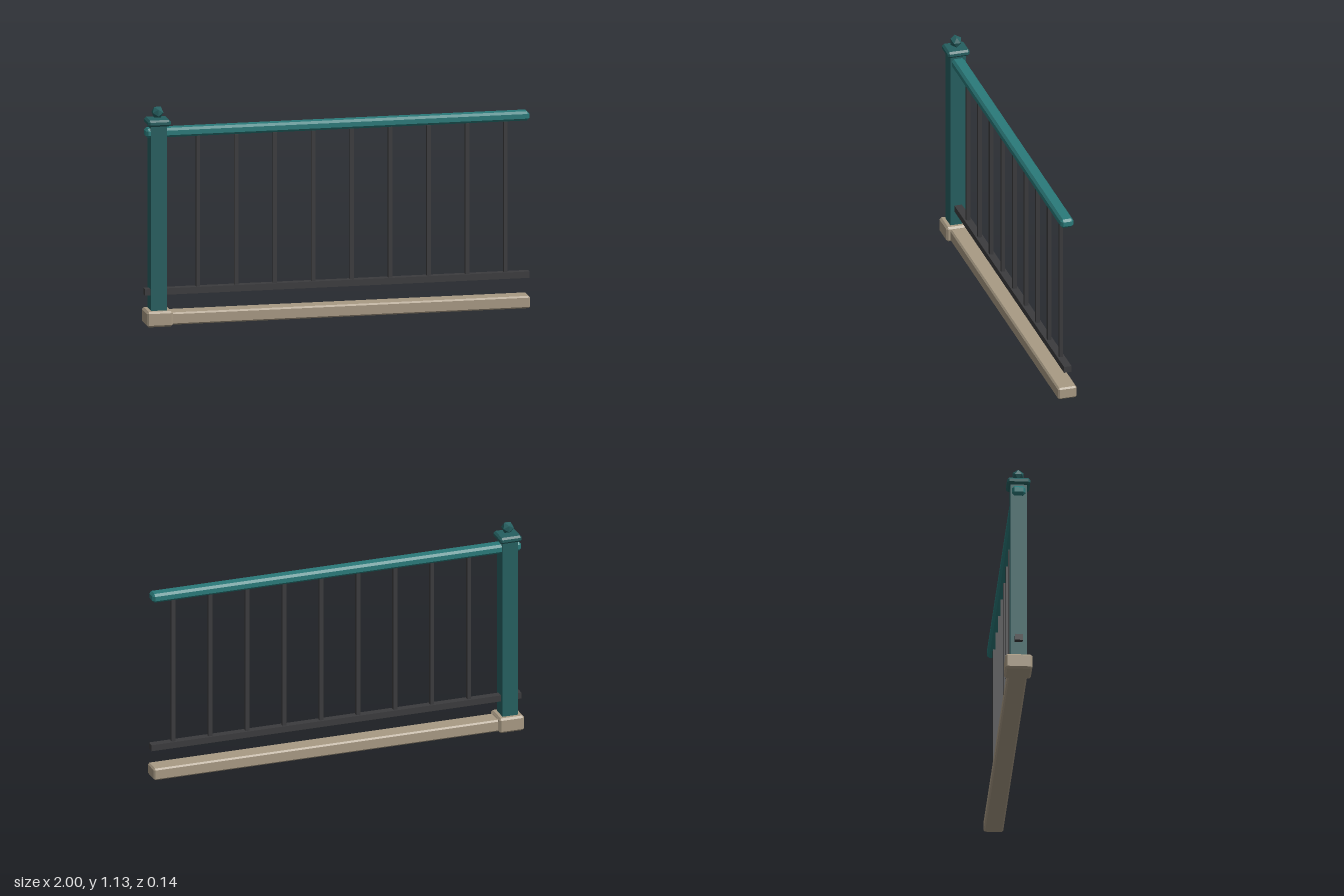
import * as THREE from 'three';
import { ConvexGeometry } from 'three/addons/geometries/ConvexGeometry.js';

const material = (color) => new THREE.MeshStandardMaterial({ color, flatShading: true });

// Box with every edge cut by a flat chamfer c
function chamferBox(w, h, d, c) {
  const points = [];
  for (const sx of [-1, 1]) for (const sy of [-1, 1]) for (const sz of [-1, 1]) {
    const [x, y, z] = [w / 2, h / 2, d / 2];
    points.push(
      new THREE.Vector3(sx * x, sy * (y - c), sz * (z - c)),
      new THREE.Vector3(sx * (x - c), sy * y, sz * (z - c)),
      new THREE.Vector3(sx * (x - c), sy * (y - c), sz * z));
  }
  return new ConvexGeometry(points);
}

export function createModel() {
  const group = new THREE.Group();
  const postTeal = material(0x255f60);
  const railTeal = material(0x2a7a7a);
  const iron = material(0x3b3b3d);
  const stone = material(0xa89a84);
  const postX = -0.932;

  function add(name, geometry, mat, x, y, parent = group) {
    const mesh = new THREE.Mesh(geometry, mat);
    mesh.name = name;
    mesh.position.set(x, y, 0);
    parent.add(mesh);
    return mesh;
  }

  // Stone curb and post footing
  add('curb', chamferBox(1.995, 0.064, 0.1, 0.008), stone, 0, 0.037);
  add('postFooting', chamferBox(0.136, 0.081, 0.138, 0.01), stone, postX, 0.0405);

  // Post with cap and faceted finial
  add('post', new THREE.BoxGeometry(0.083, 1.0, 0.083), postTeal, postX, 0.55);
  add('postCap', chamferBox(0.118, 0.034, 0.118, 0.01), postTeal, postX, 1.057);
  add('finial', new THREE.IcosahedronGeometry(0.033, 0), postTeal, postX, 1.106);

  // Handrail and lower rail
  add('handrail', chamferBox(1.995, 0.048, 0.068, 0.012), railTeal, 0, 1.002);
  add('lowerRail', new THREE.BoxGeometry(2, 0.033, 0.04), iron, 0, 0.174);

  // Evenly spaced balusters
  const balusters = new THREE.Group();
  balusters.name = 'balusters';
  group.add(balusters);
  const bar = new THREE.BoxGeometry(0.02, 0.79, 0.02);
  for (let i = 0; i < 9; i++) add('baluster', bar, iron, -0.722 + i * 0.2, 0.578, balusters);

  return group;
}
